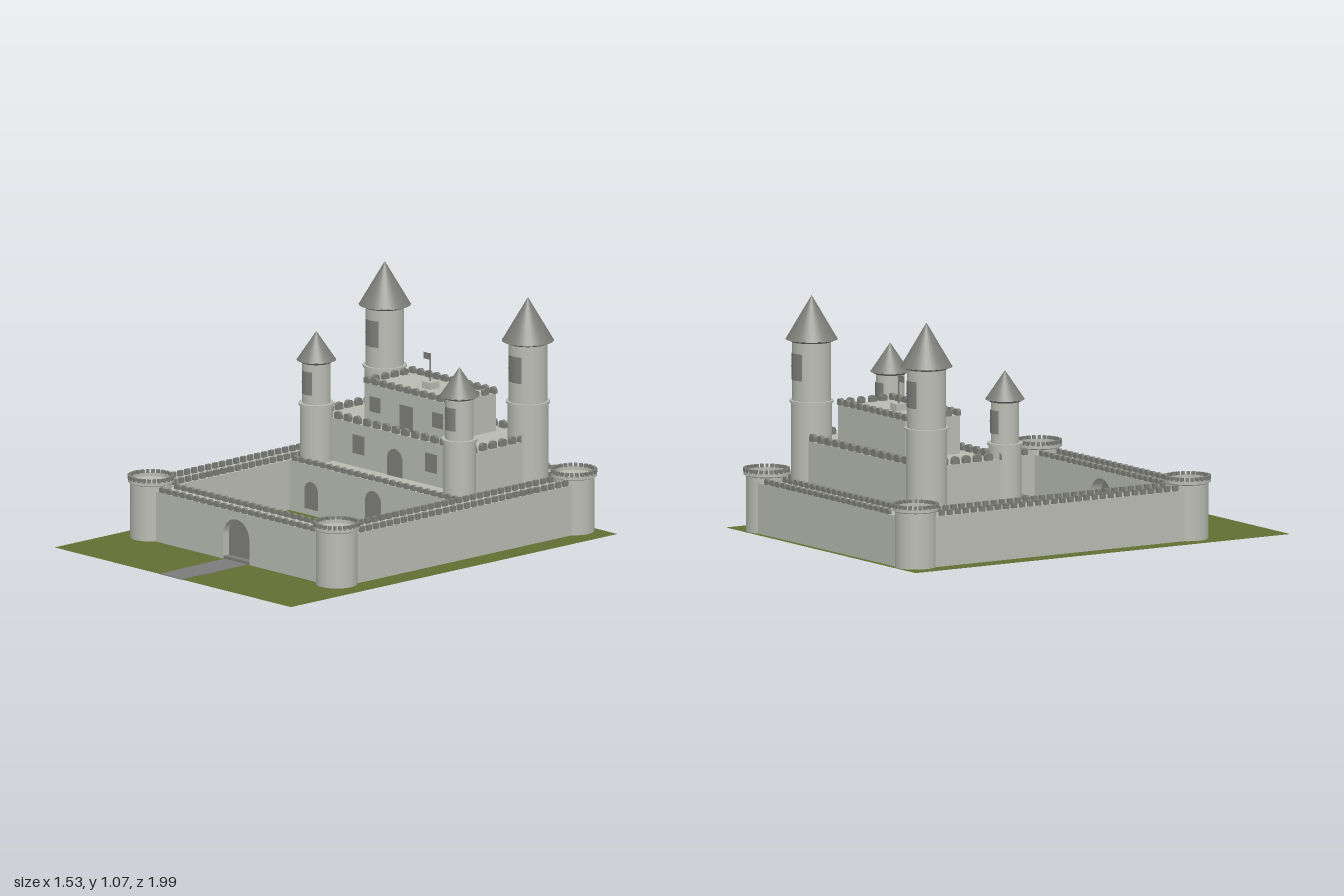
import * as THREE from 'three';
import { mergeGeometries } from 'three/addons/utils/BufferGeometryUtils.js';

const CX = -0.013; // centre line of the castle
const BASE = 0.002, WALL_TOP = 0.23;

function material(name, color, side = THREE.FrontSide) {
  const m = new THREE.MeshStandardMaterial({ color, side });
  m.name = name;
  return m;
}

export function createModel() {
  const stone = material('lightStone', 0xb9bbb3);
  const slate = material('darkSlate', 0x7e7f79);
  const grass = material('grass', 0x636e33, THREE.DoubleSide);
  const gravel = material('gravel', 0x7b7b7b);
  const model = new THREE.Group();
  model.name = 'castle';

  function add(name, geometry, mat, x = 0, y = 0, z = 0, parent = model) {
    const mesh = new THREE.Mesh(geometry, mat);
    mesh.name = name;
    mesh.position.set(x, y, z);
    parent.add(mesh);
    return mesh;
  }

  // Box given by its extents
  function block(name, x1, x2, y1, y2, z1, z2, mat = stone) {
    return add(name, new THREE.BoxGeometry(x2 - x1, y2 - y1, z2 - z1), mat,
      (x1 + x2) / 2, (y1 + y2) / 2, (z1 + z2) / 2);
  }

  function cylinder(name, r, y1, y2, mat, parent, rTop = r) {
    return add(name, new THREE.CylinderGeometry(rTop, r, y2 - y1, 32), mat, 0, (y1 + y2) / 2, 0, parent);
  }

  // Upright arch-topped outline standing on y = 0
  function archShape(w, h, rise = w / 2) {
    const s = new THREE.Shape();
    s.moveTo(-w / 2, 0);
    s.lineTo(w / 2, 0);
    s.lineTo(w / 2, h - rise);
    s.absellipse(0, h - rise, w / 2, rise, 0, Math.PI, false, 0);
    s.closePath();
    return s;
  }

  function archPlate(name, x, y, z, w, h) {
    const g = new THREE.ExtrudeGeometry(archShape(w, h), { depth: 0.006, bevelEnabled: false, curveSegments: 12 });
    return add(name, g, slate, x, y, z - 0.002);
  }

  // Evenly spaced merlons along a straight line
  function merlons(name, x1, z1, x2, z2, y, pitch, w, h, d, arched) {
    const n = Math.round(Math.hypot(x2 - x1, z2 - z1) / pitch);
    const turn = Math.atan2(-(z2 - z1), x2 - x1);
    const parts = [];
    for (let i = 0; i <= n; i++) {
      let g;
      if (arched) {
        g = new THREE.ExtrudeGeometry(archShape(w, h, h * 0.45), { depth: d, bevelEnabled: false, curveSegments: 5 });
        g.translate(0, 0, -d / 2);
      } else {
        g = new THREE.BoxGeometry(w, h, d).translate(0, h / 2, 0);
      }
      g.rotateY(turn).translate(x1 + (x2 - x1) * i / n, y, z1 + (z2 - z1) * i / n);
      parts.push(g);
    }
    add(name, mergeGeometries(parts), slate);
  }

  // Merlons around all four edges of a roof
  function merlonRing(name, x1, x2, z1, z2, y, pitch, w, h, d) {
    for (const z of [z1, z2]) merlons(name, x1, z, x2, z, y, pitch, w, h, d, true);
    for (const x of [x1, x2]) merlons(name, x, z1 + pitch, x, z2 - pitch, y, pitch, w, h, d, true);
  }

  // Lawn and the path with worn edges
  add('lawn', new THREE.PlaneGeometry(1.53, 1.99).rotateX(-Math.PI / 2), grass, 0, 0.001, 0.005);
  const edge = (side, t) => CX + side * 0.073 + 0.005 * Math.sin(t * 9 + side) * Math.sin(t * 4.3);
  const path = new THREE.Shape();
  for (let i = 0; i <= 24; i++) path.lineTo(edge(-1, i), 0.18 - i * 1.18 / 24);
  for (let i = 24; i >= 0; i--) path.lineTo(edge(1, i), 0.18 - i * 1.18 / 24);
  add('path', new THREE.ExtrudeGeometry(path, { depth: 0.003, bevelEnabled: false }).rotateX(-Math.PI / 2), gravel);

  // Curtain walls, the front one pierced by the gate arch
  block('leftWall', 0.53, 0.647, BASE, WALL_TOP, -0.9, 0.56);
  block('rightWall', -0.68, -0.557, BASE, WALL_TOP, -0.9, 0.56);
  block('backWall', -0.613, 0.588, BASE, WALL_TOP, -0.968, -0.85);
  const gateW = 0.085, spring = 0.108;
  const front = new THREE.Shape();
  front.moveTo(-0.6, 0);
  front.lineTo(-gateW, 0);
  front.lineTo(-gateW, spring);
  front.absarc(0, spring, gateW, Math.PI, 0, true);
  front.lineTo(gateW, 0);
  front.lineTo(0.6, 0);
  front.lineTo(0.6, WALL_TOP - BASE);
  front.lineTo(-0.6, WALL_TOP - BASE);
  add('frontWall', new THREE.ExtrudeGeometry(front, { depth: 0.11, bevelEnabled: false, curveSegments: 16 }),
    stone, CX, BASE, 0.49);
  const gate = new THREE.ExtrudeGeometry(archShape(0.172, 0.194), { depth: 0.02, bevelEnabled: false });
  add('gate', gate, slate, CX, BASE, 0.545);
  block('gateSill', CX - 0.083, CX + 0.083, BASE, 0.015, 0.565, 0.6, gravel);

  // Wall merlons, outer and inner rows
  for (const x of [-0.672, -0.573, 0.54, 0.638])
    merlons('sideWallMerlons', x, -0.79, x, 0.45, WALL_TOP, 0.043, 0.026, 0.025, 0.015, false);
  for (const z of [-0.96, -0.862, 0.499, 0.592])
    merlons('crossWallMerlons', -0.5, z, 0.475, z, WALL_TOP, 0.045, 0.03, 0.025, 0.015, true);

  // Round corner turrets with open parapets
  for (const x of [-0.613, 0.588]) for (const z of [-0.89, 0.555]) {
    const turret = new THREE.Group();
    turret.name = 'cornerTurret';
    turret.position.set(x, 0, z);
    model.add(turret);
    cylinder('turretBody', 0.092, BASE, 0.257, stone, turret);
    const rim = [[0.09, 0.25], [0.103, 0.256], [0.103, 0.272], [0.09, 0.272], [0.09, 0.25]];
    const lathe = new THREE.LatheGeometry(rim.map(p => new THREE.Vector2(...p)), 32).toNonIndexed();
    lathe.computeVertexNormals();
    add('turretParapet', lathe, stone, 0, 0, 0, turret);
    const teeth = [];
    for (let i = 0; i < 26; i++)
      teeth.push(new THREE.BoxGeometry(0.015, 0.017, 0.014).translate(0, 0.278, 0.097).rotateY(i * Math.PI / 13));
    add('turretMerlons', mergeGeometries(teeth), slate, 0, 0, 0, turret);
  }

  // Stepped palace: terrace, hall and upper keep
  block('terrace', -0.56, 0.533, BASE, WALL_TOP, -0.86, -0.235);
  merlons('terraceMerlons', -0.53, -0.245, 0.505, -0.245, WALL_TOP, 0.045, 0.03, 0.025, 0.015, true);
  block('hall', -0.525, 0.49, WALL_TOP, 0.425, -0.805, -0.367);
  merlonRing('hallMerlons', -0.515, 0.48, -0.795, -0.377, 0.425, 0.062, 0.038, 0.034, 0.018);
  block('keep', -0.285, 0.255, 0.425, 0.597, -0.73, -0.437);
  merlonRing('keepMerlons', -0.276, 0.246, -0.721, -0.446, 0.597, 0.05, 0.034, 0.03, 0.018);

  // Doors, windows and the entrance steps
  archPlate('terraceDoor', CX, 0.02, -0.235, 0.1, 0.165);
  for (const s of [-1, 1]) {
    archPlate('terraceArch', CX + s * 0.4, 0.03, -0.235, 0.085, 0.125);
    const hx = CX + s * 0.235, kx = CX + s * 0.203;
    block('hallWindow', hx - 0.036, hx + 0.036, 0.29, 0.375, -0.369, -0.363, slate);
    block('keepWindow', kx - 0.033, kx + 0.033, 0.475, 0.543, -0.439, -0.433, slate);
  }
  archPlate('hallDoor', CX, WALL_TOP, -0.367, 0.097, 0.125);
  block('keepDoor', CX - 0.043, CX + 0.043, 0.427, 0.54, -0.439, -0.433, slate);
  block('lowerStep', CX - 0.048, CX + 0.048, BASE, 0.012, -0.236, -0.18);
  block('upperStep', CX - 0.048, CX + 0.048, BASE, 0.022, -0.236, -0.208);

  // Flag on its plinth
  block('flagPlinth', CX - 0.026, CX + 0.026, 0.597, 0.628, -0.613, -0.557);
  add('flagPole', new THREE.CylinderGeometry(0.003, 0.003, 0.13, 8), slate, CX - 0.003, 0.69, -0.585);
  block('flag', CX - 0.047, CX - 0.003, 0.725, 0.754, -0.587, -0.583, slate);

  // Round tower with two stages, ring moulding, front and back windows and a cone roof
  function tower(name, x, z, r1, r2, yRing, yEave, yTip, rEave, winW, winY1, winY2) {
    const t = new THREE.Group();
    t.name = name;
    t.position.set(x, 0, z);
    model.add(t);
    cylinder('lowerStage', r1, 0.2, yRing, stone, t);
    cylinder('ringMoulding', r1 + 0.007, yRing - 0.005, yRing + 0.005, stone, t);
    cylinder('upperStage', r2, yRing, yEave, stone, t);
    cylinder('eave', r2 + 0.006, yEave - 0.008, yEave + 0.004, slate, t, rEave);
    add('roof', new THREE.ConeGeometry(rEave, yTip - yEave, 32), slate, 0, (yTip + yEave) / 2 + 0.002, 0, t);
    const h = winY2 - winY1, y = (winY1 + winY2) / 2, arc = 2 * Math.asin(winW / 2 / r2);
    for (const a of [0, Math.PI]) {
      const pane = new THREE.CylinderGeometry(r2 + 0.003, r2 + 0.003, h, 8, 1, true, a - arc / 2, arc);
      add('towerWindow', pane, slate, 0, y, 0, t);
      const s = a ? -1 : 1;
      add('windowMullion', new THREE.BoxGeometry(0.004, h, 0.004), gravel, 0, y, s * (r2 + 0.003), t);
      const bar = new THREE.CylinderGeometry(r2 + 0.005, r2 + 0.005, 0.004, 8, 1, true, a - arc / 2, arc);
      add('windowTransom', bar, gravel, 0, y, 0, t);
    }
  }
  for (const s of [-1, 1]) {
    const x = CX - 0.005 + s * 0.463;
    tower('tallTower', x, -0.745, 0.091, 0.086, 0.592, 0.868, 1.065, 0.116, 0.08, 0.69, 0.81);
    tower('frontTower', x, -0.328, 0.073, 0.063, 0.488, 0.685, 0.815, 0.088, 0.064, 0.537, 0.642);
  }

  // Courtyard fountains
  for (const x of [-0.345, 0.335]) {
    const f = new THREE.Group();
    f.name = 'fountain';
    f.position.set(x, 0, 0.135);
    model.add(f);
    const rim = [[0.062, BASE], [0.07, BASE], [0.07, 0.032], [0.055, 0.032], [0.055, 0.01]];
    const basin = new THREE.LatheGeometry(rim.map(p => new THREE.Vector2(...p)), 12).toNonIndexed();
    basin.computeVertexNormals();
    add('basin', basin, stone, 0, 0, 0, f);
    cylinder('water', 0.056, BASE, 0.022, gravel, f);
    cylinder('spout', 0.01, 0.02, 0.06, stone, f, 0.006);
  }
  return model;
}
